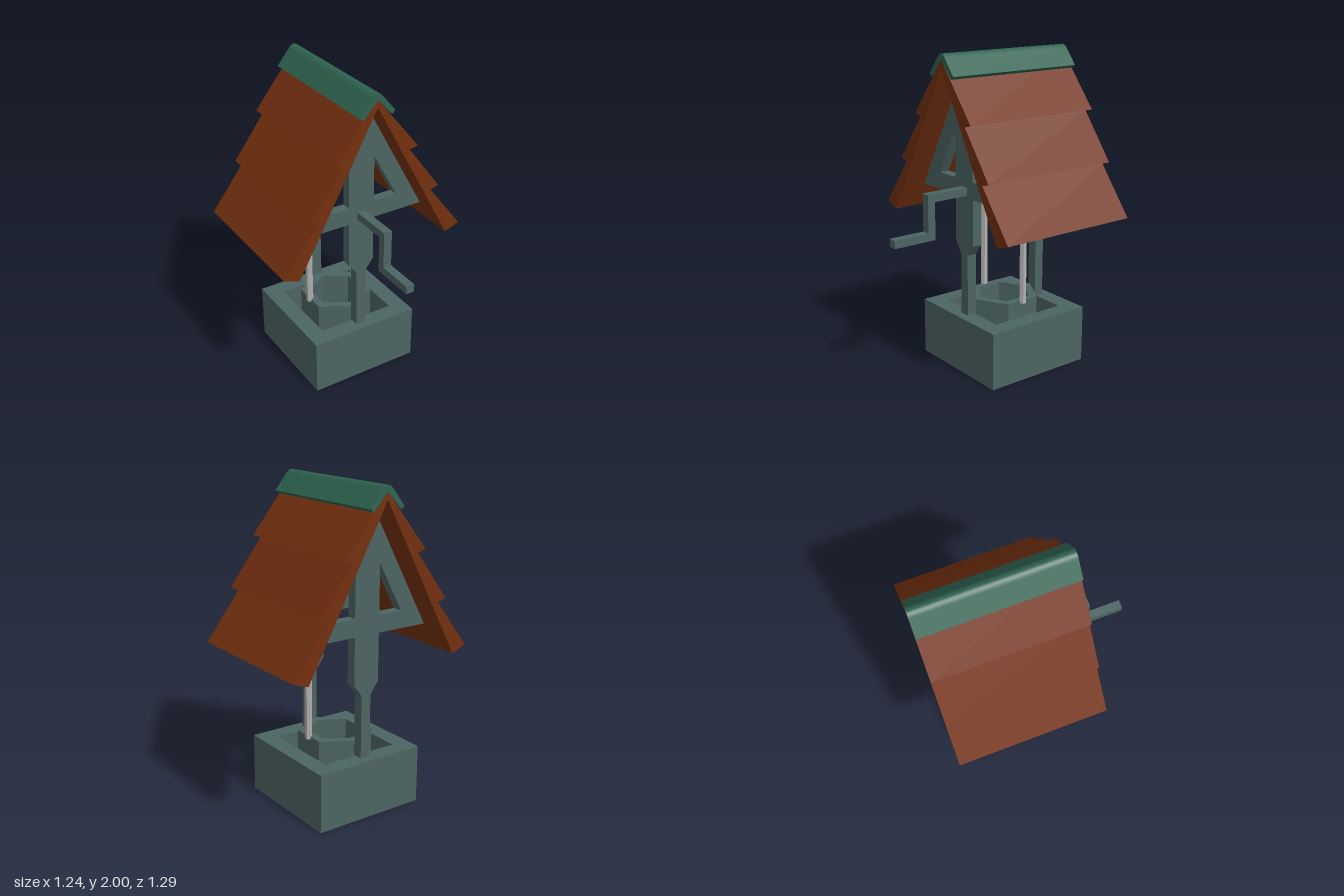
import * as THREE from 'three';

const stone = new THREE.MeshStandardMaterial({ color: 0x4c6562 });
stone.name = 'weatheredGreyGreen';
const tile = new THREE.MeshStandardMaterial({ color: 0x73300f });
tile.name = 'roofBrown';
const ridge = new THREE.MeshStandardMaterial({ color: 0x2e6350 });
ridge.name = 'ridgeGreen';
const rope = new THREE.MeshStandardMaterial({ color: 0xb3b0b1 });
rope.name = 'poleGrey';

const CZ = -0.175; // centre of the well along z

const vec = (pts) => pts.map(([x, y]) => new THREE.Vector2(x, y));
const mirrored = (pts) => [...pts, ...pts.slice().reverse().filter(([x]) => x !== 0).map(([x, y]) => [-x, y])];

// Extrudes a front-view shape between two z positions
function slab(name, shape, z0, z1, material) {
  const geo = new THREE.ExtrudeGeometry(shape, { depth: z1 - z0, bevelEnabled: false, curveSegments: 10 });
  geo.translate(0, 0, z0);
  const mesh = new THREE.Mesh(geo, material);
  mesh.name = name;
  return mesh;
}

// Extrudes a ground-plan shape upward, centred on the well
function upright(name, outer, inner, height) {
  const shape = new THREE.Shape(vec(outer));
  shape.holes.push(new THREE.Path(vec(inner)));
  const geo = new THREE.ExtrudeGeometry(shape, { depth: height, bevelEnabled: false });
  geo.rotateX(-Math.PI / 2);
  const mesh = new THREE.Mesh(geo, stone);
  mesh.name = name;
  mesh.position.z = CZ;
  return mesh;
}

const square = (h) => [[-h, -h], [h, -h], [h, h], [-h, h]];
const hexagon = (r) => Array.from({ length: 6 }, (_, i) => {
  const a = Math.PI / 2 + (i * Math.PI) / 3;
  return [r * Math.cos(a), r * Math.sin(a)];
});

function box(name, w, h, d, x, y, z) {
  const mesh = new THREE.Mesh(new THREE.BoxGeometry(w, h, d), stone);
  mesh.name = name;
  mesh.position.set(x, y, z);
  return mesh;
}

export function createModel() {
  const well = new THREE.Group();
  well.name = 'well';

  // Square base wall and hexagonal inner ring
  well.add(upright('baseWall', square(0.365), square(0.255), 0.365));
  well.add(upright('shaftRing', hexagon(0.23), hexagon(0.175), 0.445));

  // Post and gable truss cut from one outline, front and back
  const truss = new THREE.Shape(vec(mirrored([
    [0.033, 0.36], [0.033, 0.76], [0.087, 0.83], [0.087, 1.125], [0.434, 1.125], [0, 1.92],
  ])));
  for (const s of [1, -1]) {
    truss.holes.push(new THREE.Path(vec([[s * 0.087, 1.235], [s * 0.25, 1.235], [s * 0.087, 1.535]])));
  }
  well.add(slab('frontTruss', truss, 0.068, 0.132, stone));
  well.add(slab('backTruss', truss, -0.482, -0.418, stone));

  // Roof: three overlapping wedge boards per side
  const boards = [
    [[0.52, 0.965], [0.62, 1.0], [0.387, 1.3], [0.345, 1.286]],
    [[0.345, 1.286], [0.445, 1.315], [0.224, 1.608], [0.176, 1.596]],
    [[0.176, 1.596], [0.28, 1.62], [0, 1.965], [0, 1.92]],
  ];
  for (const s of [1, -1]) {
    boards.forEach((b, i) => {
      const shape = new THREE.Shape(vec(b.map(([x, y]) => [s * x, y])));
      well.add(slab(`${s > 0 ? 'left' : 'right'}RoofBoard${i + 1}`, shape, -0.645, 0.29, tile));
    });
  }

  // Ridge cap with rounded crest
  const cap = new THREE.Shape();
  cap.moveTo(0, 1.963);
  cap.lineTo(0.096, 1.86);
  cap.lineTo(0.117, 1.878);
  cap.lineTo(0.033, 1.981);
  cap.quadraticCurveTo(0, 2.019, -0.033, 1.981);
  cap.lineTo(-0.117, 1.878);
  cap.lineTo(-0.096, 1.86);
  well.add(slab('ridgeCap', cap, -0.645, 0.29, ridge));

  // Slim six-sided poles standing on the ring
  for (const s of [1, -1]) {
    const geo = new THREE.CylinderGeometry(0.0225, 0.0225, 1.11, 6).toNonIndexed();
    geo.computeVertexNormals();
    const pole = new THREE.Mesh(geo, rope);
    pole.name = s > 0 ? 'leftPole' : 'rightPole';
    pole.position.set(s * 0.198, 0.985, CZ);
    well.add(pole);
  }

  // Crank handle
  const crank = new THREE.Group();
  crank.name = 'crank';
  crank.add(box('crankAxle', 0.054, 0.05, 0.265, 0, 1.165, 0.2325));
  crank.add(box('crankArm', 0.054, 0.285, 0.05, 0, 1.0475, 0.39));
  crank.add(box('crankGrip', 0.054, 0.05, 0.235, 0, 0.93, 0.5325));
  well.add(crank);

  return well;
}
